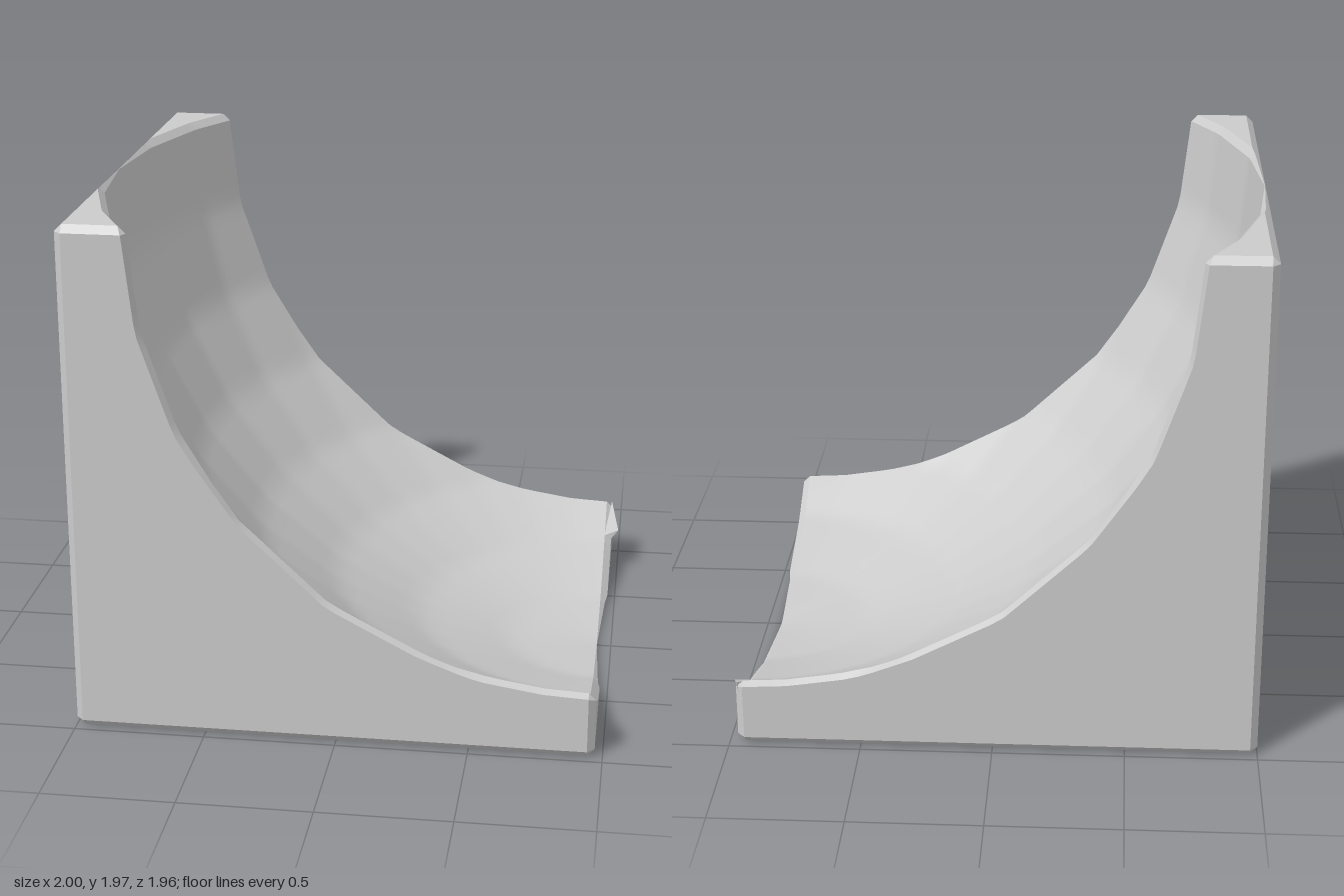
import * as THREE from 'three';
import { toCreasedNormals } from 'three/addons/utils/BufferGeometryUtils.js';
import { ConvexGeometry } from 'three/addons/geometries/ConvexGeometry.js';

const RIGHT = 0.97, TOP = 1.97, DEPTH = 0.98, R = 1.97; // bowl centre is (RIGHT, TOP, 0)
const BEVEL = 0.028, ARC_STEPS = 48, SLICES = 60;
const STEP = Math.PI / 16, K = Math.cos(STEP / 2); // bowl facets: 32 around, 16 rings

// Distance from the bowl axis to the faceted bowl, at depth z and angle phi
function bowlRadius(z, phi) {
  const r = Math.sqrt(R * R - z * z), ex = Math.cos(phi), ey = Math.sin(phi);
  const middle = (angle) => (Math.floor(angle / STEP) + 0.5) * STEP;
  const a = middle(Math.atan2(z, -r * ex));
  const t = middle(Math.acos(Math.min(1, -r * ey / R)));
  const nx = -Math.sin(t) * Math.cos(a), ny = -K * Math.cos(t), nz = Math.sin(t) * Math.sin(a);
  return (R * K * K - nz * z) / (nx * ex + ny * ey);
}

// Counterclockwise outline of the block at depth z, with chamfered corners
function section(z, inset) {
  const r0 = Math.sqrt(R * R - z * z);
  const from = 1.5 * Math.PI - BEVEL / r0, to = Math.PI + BEVEL / r0;
  const arc = [];
  for (let i = 0; i <= ARC_STEPS; i++) {
    const phi = from + (to - from) * i / ARC_STEPS;
    const r = bowlRadius(z, phi) + inset;
    arc.push([RIGHT + r * Math.cos(phi), TOP + r * Math.sin(phi)]);
  }
  const [lipX, lipY] = arc[0], [rimX, rimY] = arc[ARC_STEPS];
  const left = -1 + inset, size = inset ? 0.001 : BEVEL;
  // chamfers shrink where the wall gets thin
  const lip = Math.max(1e-4, Math.min(size, (lipY - inset) / 2));
  const rim = Math.max(1e-4, Math.min(size, (rimX - left) / 2));
  return [
    [left, inset + size], [left + size, inset],
    [lipX, inset], [lipX + lip, inset + lip], [lipX + lip, lipY - lip],
    ...arc,
    [rimX - rim, rimY + rim], [left + rim, rimY + rim], [left, rimY],
  ];
}

// Loft the outlines from back to front and close both ends
function blockGeometry() {
  const depths = [[-DEPTH, BEVEL]];
  for (let i = 0; i <= SLICES; i++) depths.push([(DEPTH - BEVEL) * (2 * i / SLICES - 1), 0]);
  depths.push([DEPTH, BEVEL]);
  const sections = depths.map(([z, inset]) => section(z, inset));
  const n = sections[0].length, last = sections.length - 1;
  const positions = [], index = [];
  sections.forEach((points, i) => points.forEach(([x, y]) => positions.push(x, y, depths[i][0])));
  for (let i = 0; i < last; i++) {
    for (let k = 0; k < n; k++) {
      const a = i * n + k, b = i * n + (k + 1) % n;
      index.push(a, b, b + n, a, b + n, a + n);
    }
  }
  for (const end of [0, last]) {
    const outline = sections[end].map(([x, y]) => new THREE.Vector2(x, y));
    for (const [a, b, c] of THREE.ShapeUtils.triangulateShape(outline, [])) {
      const o = end * n;
      if (end) index.push(o + a, o + b, o + c);
      else index.push(o + a, o + c, o + b);
    }
  }
  const geometry = new THREE.BufferGeometry();
  geometry.setAttribute('position', new THREE.Float32BufferAttribute(positions, 3));
  geometry.setIndex(index);
  return toCreasedNormals(geometry, 0.5);
}

export function createModel() {
  const model = new THREE.Group();
  model.name = 'scoopedBlock';
  const grey = new THREE.MeshStandardMaterial({ color: 0xcccccc });

  // Cube with a spherical hollow
  const block = new THREE.Mesh(blockGeometry(), grey);
  block.name = 'hollowedBlock';
  model.add(block);

  // Small jutting sliver on the lip
  const sliver = new THREE.Mesh(new ConvexGeometry([
    [0.965, 0.255, -0.965], [1.0, 0.18, -0.81], [0.95, 0.125, -0.775],
    [0.94, 0.165, -0.78], [0.96, 0.22, -0.965],
  ].map((p) => new THREE.Vector3(...p))), grey);
  sliver.name = 'lipSliver';
  model.add(sliver);

  return model;
}
